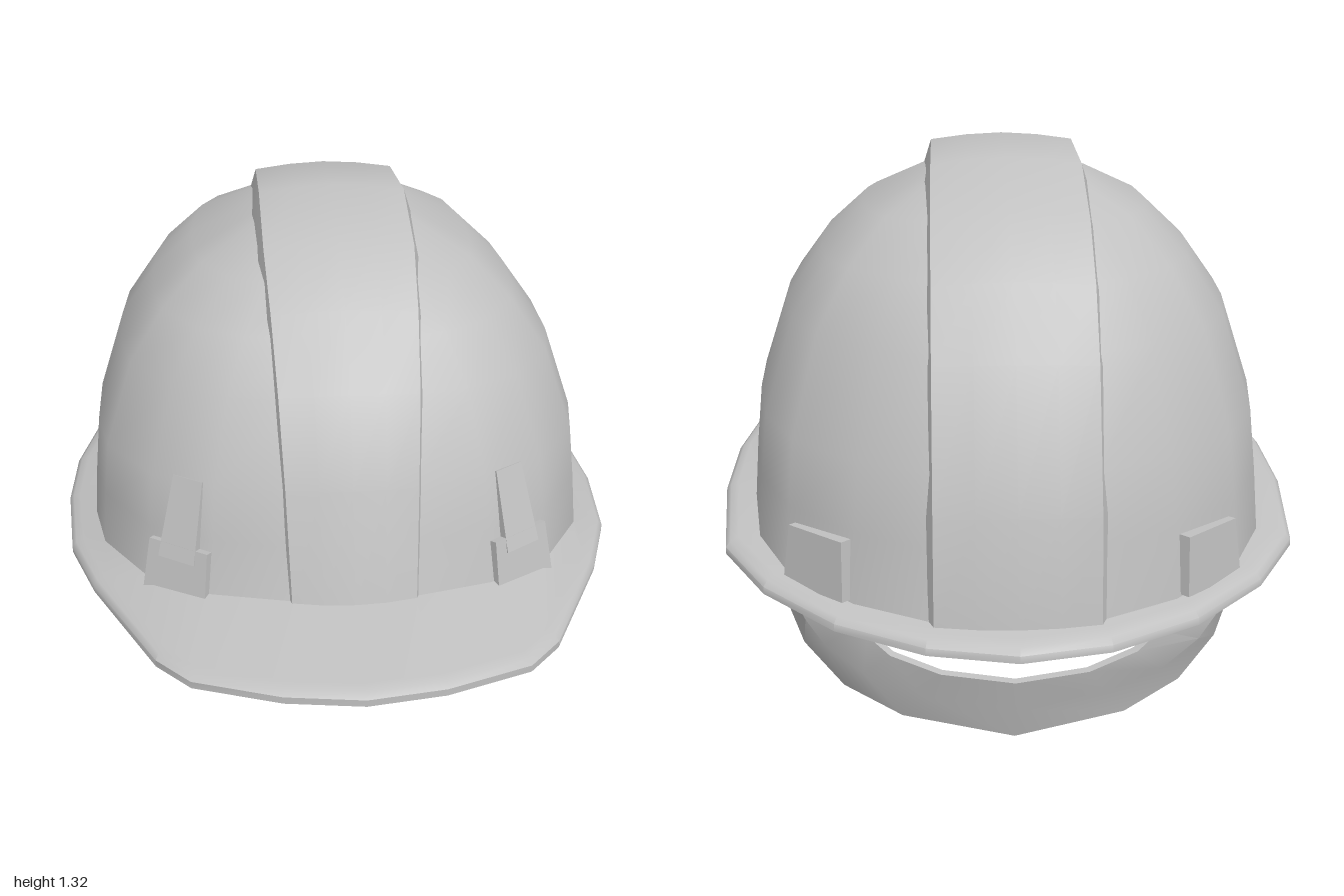
import * as THREE from 'three';
import { toCreasedNormals } from 'three/addons/utils/BufferGeometryUtils.js';

const shellGrey = new THREE.MeshStandardMaterial({ color: 0xc0c0c0 });
shellGrey.name = 'shell grey';

// piecewise-linear lookup in ascending [key, value] pairs
function lookup(table, x) {
  if (x <= table[0][0]) return table[0][1];
  for (let i = 1; i < table.length; i++) {
    const [x0, y0] = table[i - 1], [x1, y1] = table[i];
    if (x <= x1) return y0 + (y1 - y0) * (x - x0) / (x1 - x0);
  }
  return table[table.length - 1][1];
}

// skin a list of equal-length cross-sections
function loft(rows, closed, crease) {
  const n = rows[0].length, index = [];
  for (let i = 0; i < rows.length - 1; i++) {
    for (let j = 0; j < (closed ? n : n - 1); j++) {
      const k = (j + 1) % n, a = i * n + j, b = i * n + k;
      index.push(a, b, b + n, a, b + n, a + n);
    }
  }
  const g = new THREE.BufferGeometry();
  g.setAttribute('position', new THREE.Float32BufferAttribute(rows.flat(2), 3));
  g.setIndex(index);
  g.computeVertexNormals();
  return crease ? toCreasedNormals(g, crease) : g;
}

// complete a half outline (front centre to back centre) on the other side
const mirrorOutline = half => [...half, ...half.slice(1, -1).reverse().map(([x, z]) => [-x, z])];

function add(group, name, geometry) {
  const mesh = new THREE.Mesh(geometry, shellGrey);
  mesh.name = name;
  group.add(mesh);
  return mesh;
}

const domeOutline = mirrorOutline([[0, 0.705], [0.14, 0.695], [0.33, 0.645], [0.48, 0.55], [0.6, 0.35],
  [0.635, 0.17], [0.645, -0.1], [0.635, -0.3], [0.6, -0.52], [0.52, -0.68], [0.36, -0.82], [0.18, -0.9], [0, -0.92]]);
const brimOutline = mirrorOutline([[0, 0.995], [0.18, 0.97], [0.38, 0.9], [0.46, 0.815], [0.62, 0.5],
  [0.69, 0.3], [0.72, 0.03], [0.72, -0.23], [0.68, -0.54], [0.57, -0.72], [0.4, -0.87], [0.2, -0.965], [0, -1]]);
// heights of the dome foot and of the underside, by z
const footY = [[-0.93, 0.34], [-0.5, 0.41], [0, 0.475], [0.3, 0.51], [0.72, 0.545]];
const underY = [[-1, 0.287], [-0.7, 0.339], [-0.4, 0.385], [0, 0.43], [0.5, 0.457], [1, 0.463]];

function domeGeometry() {
  // height fraction and outline scale of each ring; the top is open beneath the ridge
  const rings = [[0, 1], [0.17, 0.984], [0.34, 0.962], [0.6, 0.853], [0.75, 0.717],
    [0.87, 0.555], [0.965, 0.31], [0.99, 0.2]];
  const zc = -0.1, top = 1.275;
  return loft(rings.map(([h, k]) => domeOutline.map(([x, z]) => {
    // front and back slope in more than the sides
    const slope = z > zc ? 0.07 : 0.035;
    const reach = 1 - slope * Math.sin(Math.PI * h) * Math.abs(z - zc) / 0.81;
    const y = lookup(footY, z);
    return [x * k, y + (top - y) * h, zc + (z - zc) * k * reach];
  })), true);
}

// closed lip with a slightly hollow underside
function brimGeometry() {
  const ring = (scale, lift) => brimOutline.map(([x, z]) =>
    [x * scale, lookup(underY, z * scale) + lift, z * scale]);
  const foot = domeOutline.map(([x, z]) => [x * 0.99, lookup(footY, z) + 0.002, z * 0.99]);
  return loft([ring(0, 0.02), ring(0.4, 0.02), ring(0.8, 0.016), ring(0.985, 0), ring(1, 0.007), ring(1, 0.024),
    ring(0.985, 0.034), ring(0.96, 0.039), foot], true, 0.9);
}

// raised band running over the crown from front to back
function ridgeGeometry() {
  const path = [[0.722, 0.53], [0.64, 0.8], [0.55, 1.0], [0.41, 1.15], [0.24, 1.255], [0, 1.32], [-0.31, 1.285],
    [-0.53, 1.18], [-0.68, 1.05], [-0.79, 0.89], [-0.9, 0.58], [-0.933, 0.33]];
  return loft(path.map(([z, y], i) => {
    const [z0, y0] = path[Math.max(i - 1, 0)], [z1, y1] = path[Math.min(i + 1, path.length - 1)];
    const len = Math.hypot(z1 - z0, y1 - y0), nz = (y1 - y0) / len, ny = -(z1 - z0) / len;
    const w = Math.min(0.145 + i * 0.009, 0.183);
    const skirt = 0.055 + 0.025 * Math.sin(Math.PI * i / (path.length - 1));
    return [[-w - 0.02, skirt], [-w, 0.017], [-w / 2, 0.005], [0, 0], [w / 2, 0.005], [w, 0.017], [w + 0.02, skirt]]
      .map(([x, d]) => [x, y - ny * d, z - nz * d]);
  }), false, 0.6);
}

// band hanging below the back: lower edge, upper edge and outward bow of each station
function napeGeometry() {
  const half = [
    [[0.61, 0.405, -0.37], [0.31, 0.365, -0.755], 0.12],
    [[0.585, 0.33, -0.46], [0.352, 0.3, -0.718], 0.1],
    [[0.545, 0.235, -0.505], [0.352, 0.265, -0.715], 0.08],
    [[0.5, 0.145, -0.555], [0.338, 0.235, -0.722], 0.05],
    [[0.4, 0.072, -0.64], [0.285, 0.197, -0.748], 0.02],
    [[0.26, 0.032, -0.72], [0.17, 0.167, -0.787], 0],
    [[0, 0, -0.77], [0, 0.153, -0.81], 0]];
  const flip = ([x, y, z]) => [-x, y, z];
  const stations = [...half, ...half.slice(0, -1).reverse().map(([l, u, b]) => [flip(l), flip(u), b])];
  return loft(stations.map(([low, up, bow]) => {
    const mid = low.map((v, i) => (v + up[i]) / 2 * (i === 1 ? 1 : 1 + bow));
    const inner = ([x, y, z]) => [x * 0.975, y + 0.002, z * 0.975];
    return [up, mid, low, inner(low), inner(mid), inner(up)];
  }), true, 0.7);
}

// box whose upper face is drawn in
function taperedBox(w, h, d, topWidth, topDepth) {
  const g = new THREE.BoxGeometry(w, h, d), p = g.attributes.position;
  for (let i = 0; i < p.count; i++) {
    if (p.getY(i) > 0) {
      p.setX(i, p.getX(i) * topWidth);
      p.setZ(i, p.getZ(i) * topDepth);
    }
  }
  g.computeVertexNormals();
  return g;
}

export function createModel() {
  const model = new THREE.Group();
  model.name = 'hardHat';
  add(model, 'dome', domeGeometry());
  add(model, 'brim', brimGeometry());
  add(model, 'crownRidge', ridgeGeometry());
  add(model, 'napeBand', napeGeometry());

  // accessory slots beside the visor and at the back corners
  for (const side of [1, -1]) {
    const label = side > 0 ? 'left' : 'right';
    const front = new THREE.Group();
    front.name = label + 'FrontSlot';
    front.position.set(side * 0.395, 0.565, 0.57);
    front.rotation.set(-0.2, side * 0.57, 0, 'YXZ');
    add(front, 'slotBase', taperedBox(0.175, 0.14, 0.08, 0.92, 0.9));
    const rib = add(front, 'slotRib', taperedBox(0.1, 0.2, 0.07, 0.8, 0.8));
    rib.position.set(0, 0.13, -0.004);
    rib.rotation.x = -0.1;
    model.add(front);

    const back = add(model, label + 'BackSlot', taperedBox(0.195, 0.135, 0.08, 0.88, 0.7));
    back.position.set(side * 0.428, 0.432, -0.733);
    back.rotation.y = side * (Math.PI - 0.75);
  }
  return model;
}
